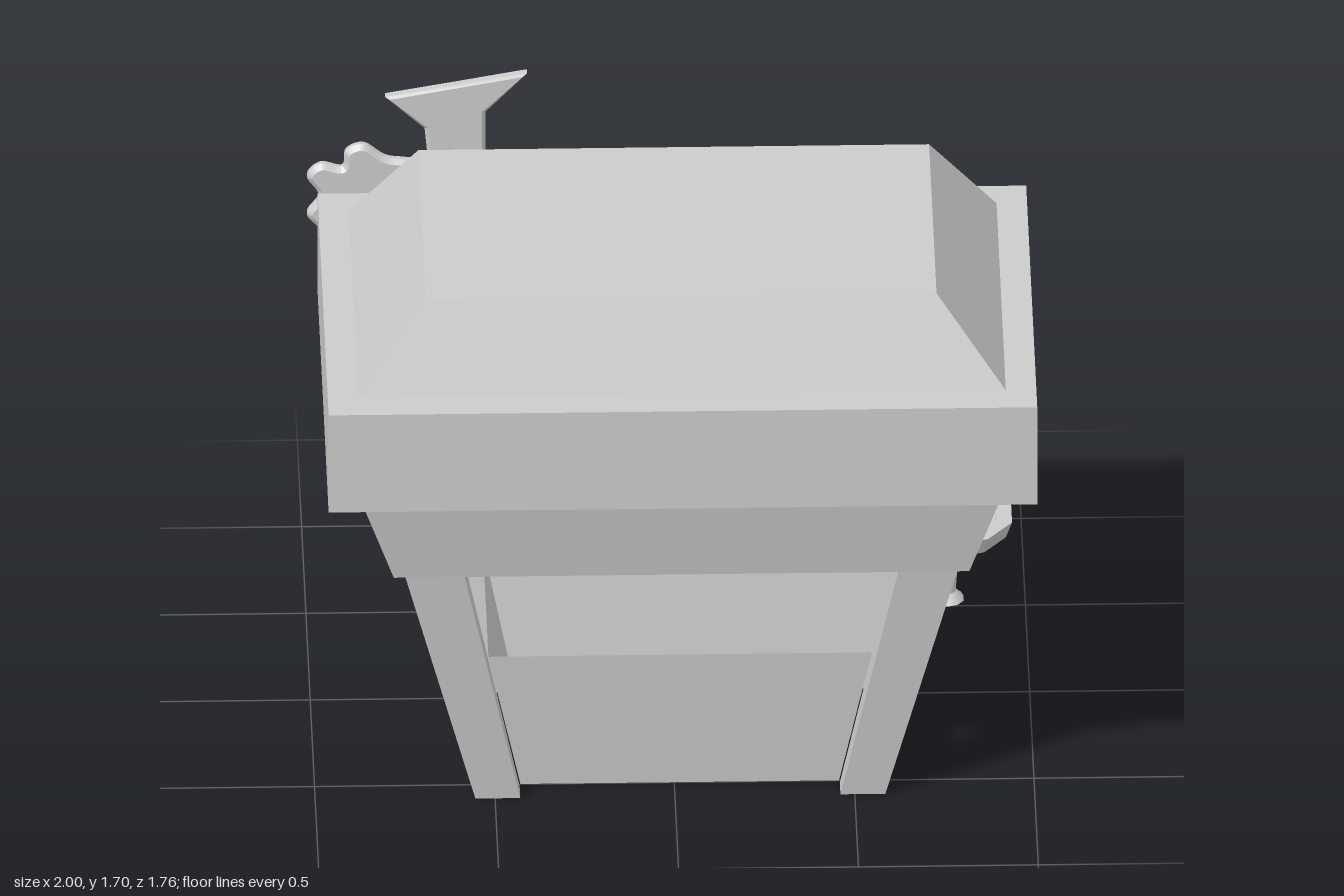
import * as THREE from 'three';
import { toCreasedNormals } from 'three/addons/utils/BufferGeometryUtils.js';

const flat = new THREE.MeshStandardMaterial({ color: 0xcccccc, flatShading: true, side: THREE.DoubleSide });
const smooth = new THREE.MeshStandardMaterial({ color: 0xcccccc, side: THREE.DoubleSide });
const CX = 0.015, CZ = 0.24; // centre of the stall

function mesh(name, geometry, material = flat) {
  const m = new THREE.Mesh(geometry, material);
  m.name = name;
  return m;
}

// Rectangular cross-sections [halfX, y, halfZ] joined into flat faces
function rectLoft(rings) {
  const corners = [[1, 1], [1, -1], [-1, -1], [-1, 1]];
  const pos = [];
  const point = ([hx, y, hz], i) => [CX + corners[i % 4][0] * hx, y, CZ + corners[i % 4][1] * hz];
  for (let j = 0; j < rings.length - 1; j++) {
    for (let i = 0; i < 4; i++) {
      const a = point(rings[j], i), b = point(rings[j], i + 1);
      const c = point(rings[j + 1], i + 1), d = point(rings[j + 1], i);
      pos.push(...a, ...b, ...c, ...a, ...c, ...d);
    }
  }
  const g = new THREE.BufferGeometry();
  g.setAttribute('position', new THREE.Float32BufferAttribute(pos, 3));
  g.computeVertexNormals();
  return g;
}

// Leg that leans outward and thickens toward the top
function legGeometry(sx, sz) {
  const g = new THREE.BoxGeometry(1, 1, 1);
  const p = g.attributes.position;
  for (let i = 0; i < p.count; i++) {
    const t = p.getY(i) + 0.5;
    const x = p.getX(i) * sx > 0 ? 0.57 + 0.2 * t : 0.445 + 0.16 * t;
    const z = p.getZ(i) * sz > 0 ? 0.34 + 0.12 * t : 0.27 + 0.09 * t;
    p.setXYZ(i, CX + sx * x, 0.78 * t, CZ + sz * z);
  }
  g.computeVertexNormals();
  return g;
}

// Flat cut-out between two depths, with chamfered edges
function cutout(shape, zBack, zFront, bevel) {
  const g = new THREE.ExtrudeGeometry(shape, {
    depth: zFront - zBack - 2 * bevel, bevelEnabled: true, bevelSize: bevel,
    bevelThickness: bevel, bevelOffset: -bevel, bevelSegments: 1, curveSegments: 6,
  });
  g.translate(0, 0, zBack + bevel);
  return g;
}

const vectors = (list) => list.map(([x, y]) => new THREE.Vector2(x, y));

function boardShape(x0, y0, x1, y1, r) {
  const s = new THREE.Shape();
  s.absarc(x1 - r, y1 - r, r, 0, Math.PI / 2);
  s.absarc(x0 + r, y1 - r, r, Math.PI / 2, Math.PI);
  s.absarc(x0 + r, y0 + r, r, Math.PI, Math.PI * 1.5);
  s.absarc(x1 - r, y0 + r, r, Math.PI * 1.5, Math.PI * 2);
  return s;
}

// Ten-sided turned part, smooth around and sharp at the rims
const turned = (profile) => toCreasedNormals(new THREE.LatheGeometry(vectors(profile), 10), 0.7);

// Stool with a dished seat and flared foot
function stool(x, z, h) {
  const g = new THREE.Group();
  g.name = 'stool';
  g.add(mesh('stoolSeat', turned([
    [0, h - 0.05], [0.172, h - 0.05], [0.19, h], [0.142, h], [0.142, h - 0.025], [0, h - 0.025]]), smooth));
  g.add(mesh('stoolStem', turned([
    [0.05, 0], [0.042, 0.013], [0.026, 0.027], [0.042, h - 0.05]]), smooth));
  g.position.set(x, 0, z);
  return g;
}

export function createModel() {
  const model = new THREE.Group();
  model.name = 'stall';

  // Canopy: sloped roof, wide band, tapered skirt open underneath
  model.add(mesh('roof', rectLoft([[0.9, 1.385, 0.54], [0.71, 1.635, 0.43], [0, 1.635, 0]])));
  model.add(mesh('roofBand', rectLoft([
    [0.9, 1.077, 0.54], [0.985, 1.077, 0.64], [0.985, 1.385, 0.64], [0.9, 1.385, 0.54]])));
  model.add(mesh('skirt', rectLoft([[0.8, 0.78, 0.48], [0.9, 1.077, 0.54]])));

  // Four splayed legs
  for (const sx of [-1, 1]) {
    for (const sz of [-1, 1]) model.add(mesh('leg', legGeometry(sx, sz)));
  }

  // Thin counter walls along the inner edges of the legs
  model.add(mesh('counter', rectLoft([[0.443, 0.005, 0.268], [0.533, 0.437, 0.318]])));

  // Sign board on the back of the band
  model.add(mesh('signBoard', cutout(boardShape(-0.76, 1.1, 0.79, 1.37, 0.04), -0.445, -0.395, 0.005)));

  // Leaning goblet cut-out
  const goblet = new THREE.Shape(vectors([
    [-0.385, 1.7], [-0.78, 1.63], [-0.67, 1.53], [-0.65, 1.32], [-0.61, 1.24], [-0.575, 1.08],
    [-0.62, 1.03], [-0.61, 1.0], [-0.5, 0.99], [-0.42, 1.015], [-0.425, 1.05], [-0.5, 1.1],
    [-0.5, 1.2], [-0.47, 1.28], [-0.5, 1.45], [-0.5, 1.58]]));
  model.add(mesh('gobletSign', cutout(goblet, -0.54, -0.498, 0.01)));

  // Round cut-out with a lobed edge
  const lobed = new THREE.Shape();
  lobed.moveTo(-0.47, 1.23);
  lobed.splineThru(vectors([
    [-0.505, 1.34], [-0.6, 1.43], [-0.72, 1.45], [-0.78, 1.46], [-0.84, 1.5], [-0.89, 1.48],
    [-0.9, 1.43], [-0.96, 1.44], [-0.998, 1.4], [-0.965, 1.34], [-0.998, 1.28], [-0.95, 1.22],
    [-0.93, 1.15], [-0.86, 1.05], [-0.74, 1.0], [-0.62, 1.01], [-0.52, 1.1], [-0.47, 1.23]]));
  model.add(mesh('roundSign', cutout(lobed, -0.502, -0.46, 0.014)));

  // Stools behind the stall
  model.add(stool(0.35, -0.69, 0.235), stool(0.782, -0.545, 0.27));

  return model;
}
